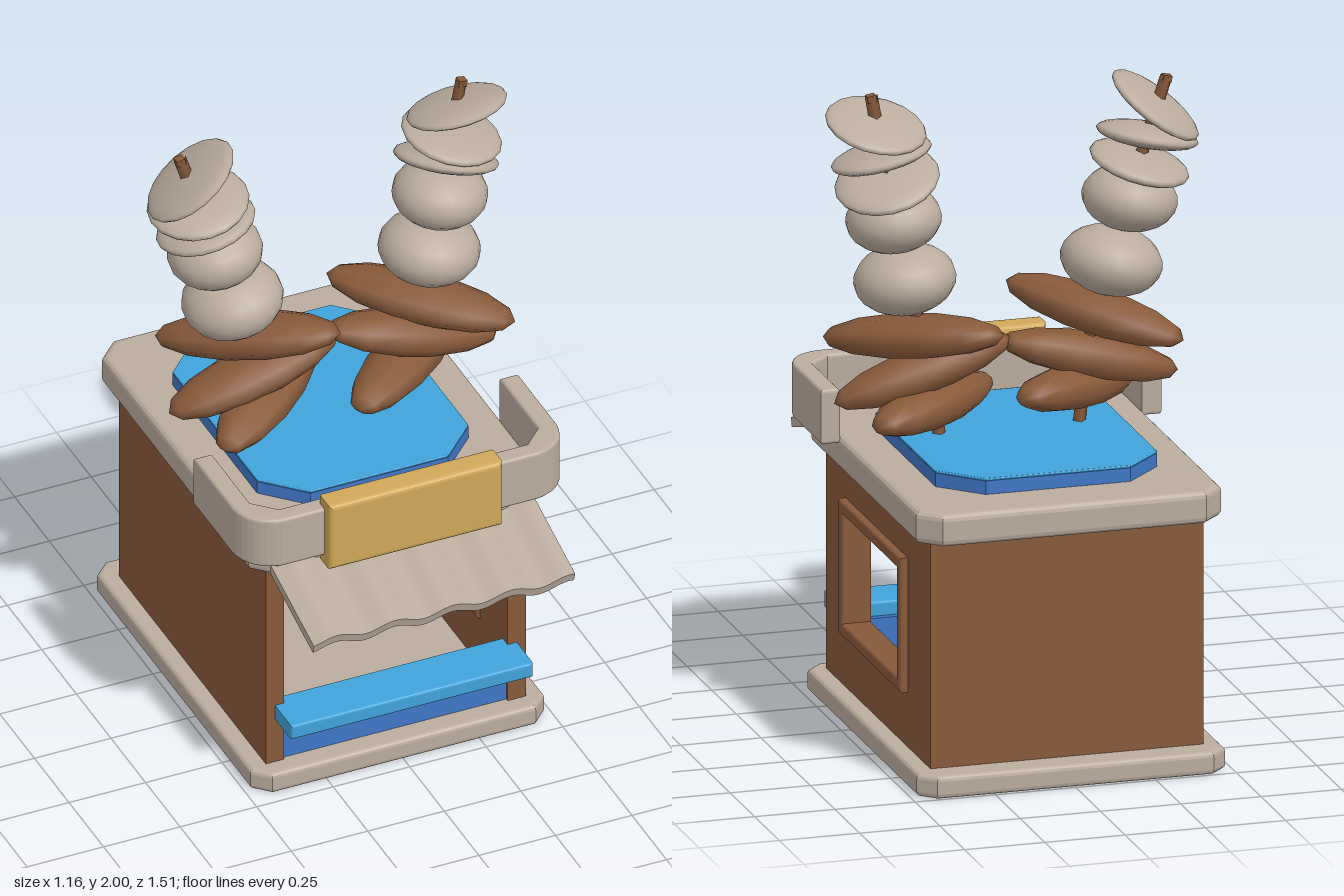
import * as THREE from 'three';

const mat = (name, color) => {
  const m = new THREE.MeshStandardMaterial({ color });
  m.name = name;
  return m;
};

export function createModel() {
  const root = new THREE.Group();
  root.name = 'skewerStall';
  const stone = mat('warm stone', 0xbbac9e);
  const wood = mat('brown wood', 0x885a3a);
  const sky = mat('light blue', 0x40a3da);
  const blue = mat('deep blue', 0x3f77c6);
  const gold = mat('gold', 0xcfa859);

  const add = (name, geo, material, parent = root) => {
    const mesh = new THREE.Mesh(geo, material);
    mesh.name = name;
    parent.add(mesh);
    return mesh;
  };
  // Box given by its min and max corners
  const box = (name, material, [x0, y0, z0], [x1, y1, z1]) =>
    add(name, new THREE.BoxGeometry(x1 - x0, y1 - y0, z1 - z0)
      .translate((x0 + x1) / 2, (y0 + y1) / 2, (z0 + z1) / 2), material);
  // Extrusion with bevels kept inside the outline
  const extrude = (shape, depth, bevel) => new THREE.ExtrudeGeometry(shape, {
    depth: depth - 2 * bevel, bevelEnabled: bevel > 0, bevelSize: bevel, bevelThickness: bevel,
    bevelOffset: -bevel, bevelSegments: 3, curveSegments: 8,
  }).translate(0, 0, bevel);
  const poly = (pts) => new THREE.Shape(pts.map(([x, y]) => new THREE.Vector2(x, y)));
  // Rectangle with cut corners, lying flat
  const slab = (name, material, hw, zBack, zFront, cut, y0, y1, bevel) => {
    const a = -zFront, b = -zBack;
    const shape = poly([[-hw + cut, a], [hw - cut, a], [hw, a + cut], [hw, b - cut],
      [hw - cut, b], [-hw + cut, b], [-hw, b - cut], [-hw, a + cut]]);
    return add(name, extrude(shape, y1 - y0, bevel).rotateX(-Math.PI / 2).translate(0, y0, 0), material);
  };

  // Base, roof and blue roof pad
  slab('base', stone, 0.48, -0.75, 0.46, 0.05, 0, 0.07, 0.015);
  slab('roof', stone, 0.475, -0.74, 0.45, 0.065, 0.78, 0.88, 0.02);
  slab('roofPadSide', blue, 0.345, -0.57, 0.28, 0.12, 0.87, 0.922, 0);
  slab('roofPadTop', sky, 0.345, -0.57, 0.28, 0.12, 0.922, 0.93, 0.003);

  // Walls, open at the front
  box('backWall', wood, [-0.425, 0.07, -0.66], [0.425, 0.78, -0.605]);
  box('rightWall', wood, [-0.425, 0.07, -0.605], [-0.365, 0.78, 0.4]);

  // Left wall with a window, drawn in (-z, y)
  const rect = (x0, y0, x1, y1) => poly([[x0, y0], [x1, y0], [x1, y1], [x0, y1]]);
  const withHole = (outer, hole) => {
    outer.holes.push(hole);
    return outer;
  };
  const wall = withHole(rect(-0.4, 0.07, 0.605, 0.78), rect(-0.17, 0.27, 0.4, 0.63));
  add('leftWall', extrude(wall, 0.06, 0).rotateY(Math.PI / 2).translate(0.365, 0, 0), wood);
  const frame = withHole(rect(-0.2, 0.24, 0.43, 0.66), rect(-0.16, 0.28, 0.39, 0.62));
  add('windowFrame', extrude(frame, 0.095, 0.01).rotateY(Math.PI / 2).translate(0.355, 0, 0), wood);

  // Serving counter
  box('counterPanel', blue, [-0.365, 0.07, 0.34], [0.365, 0.23, 0.39]);
  add('counter', extrude(rect(-0.395, 0.225, 0.395, 0.275), 0.16, 0.008).translate(0, 0, 0.36), sky);

  // Parapet wrapping the front of the roof
  const rail = new THREE.Shape();
  rail.moveTo(-0.53, -0.11);
  rail.lineTo(-0.53, -0.39);
  rail.quadraticCurveTo(-0.52, -0.49, -0.42, -0.51);
  rail.lineTo(0.42, -0.51);
  rail.quadraticCurveTo(0.52, -0.49, 0.53, -0.39);
  [[0.53, -0.11], [0.47, -0.11], [0.47, -0.385], [0.405, -0.45], [-0.405, -0.45], [-0.47, -0.385],
    [-0.47, -0.11]].forEach(([x, y]) => rail.lineTo(x, y));
  add('parapet', extrude(rail, 0.17, 0.01).rotateX(-Math.PI / 2).translate(0, 0.86, 0), stone);

  // Blank sign board
  add('signBoard', extrude(rect(-0.283, 0.83, 0.283, 1.06), 0.085, 0.015).translate(0, 0, 0.465), gold);

  // Corrugated awning
  const awning = new THREE.BoxGeometry(0.85, 0.03, 0.35, 54, 1, 1);
  const p = awning.attributes.position;
  for (let i = 0; i < p.count; i++) {
    p.setY(i, p.getY(i) + 0.014 * Math.sin((p.getX(i) * 2 * Math.PI) / 0.19 + 0.6));
  }
  awning.computeVertexNormals();
  const awningMesh = add('awning', awning, stone);
  awningMesh.rotation.x = 0.29;
  awningMesh.position.set(0, 0.77, 0.58);

  // Skewers: long brown pieces between two tips, then round pieces and discs
  const longGeo = new THREE.SphereGeometry(1, 9, 7).rotateZ(Math.PI / 2);
  const roundGeo = new THREE.SphereGeometry(1, 18, 12);
  const skewer = (name, rod, longs, rounds) => {
    const g = new THREE.Group();
    g.name = name;
    root.add(g);
    const curve = new THREE.CatmullRomCurve3(rod.map(([x, y]) => new THREE.Vector3(x, y, -0.09)));
    add('stick', new THREE.TubeGeometry(curve, 16, 0.02, 4), wood, g);
    const tip = rod[rod.length - 1];
    const cap = add('stickEnd', new THREE.BoxGeometry(0.027, 0.02, 0.027), wood, g);
    cap.position.set(tip[0], tip[1] - 0.008, -0.09);
    cap.rotation.z = -Math.sign(tip[0]) * 0.18;
    longs.forEach(([a, b]) => {
      const from = new THREE.Vector3(...a), to = new THREE.Vector3(...b);
      const d = to.clone().sub(from);
      const m = add('longPiece', longGeo, wood, g);
      m.position.copy(from).add(to).multiplyScalar(0.5);
      m.scale.set(d.length() / 2, 0.068, 0.1);
      m.rotation.set(0, Math.atan2(-d.z, d.x), Math.atan2(d.y, Math.hypot(d.x, d.z)), 'YZX');
    });
    rounds.forEach(([x, y, r, h, tiltZ, tiltX]) => {
      const m = add(h > 0.06 ? 'roundPiece' : 'disc', roundGeo, stone, g);
      m.position.set(x, y, -0.09);
      m.scale.set(r, h, r);
      m.rotation.set(tiltX, 0, tiltZ);
    });
  };
  skewer('rightSkewer',
    [[-0.21, 0.9], [-0.25, 1.2], [-0.31, 1.42], [-0.4, 1.72], [-0.485, 1.98]],
    [[[-0.42, 1.01, 0.09], [0.02, 1.07, -0.28]],
      [[-0.52, 1.06, -0.09], [0.03, 1.2, -0.09]],
      [[-0.48, 1.21, -0.28], [-0.04, 1.33, 0.09]]],
    [[-0.313, 1.42, 0.155, 0.105, 0.2, 0], [-0.37, 1.61, 0.145, 0.1, 0.15, 0],
      [-0.4, 1.715, 0.155, 0.036, 0.25, -0.15], [-0.425, 1.8, 0.155, 0.036, 0.2, 0.1],
      [-0.45, 1.89, 0.16, 0.03, 0.6, -0.25]]);
  skewer('leftSkewer',
    [[0.22, 0.9], [0.26, 1.2], [0.33, 1.42], [0.385, 1.73], [0.435, 2.0]],
    [[[0.02, 1.03, 0.09], [0.47, 1.02, -0.28]],
      [[0.0, 1.21, -0.09], [0.55, 1.05, -0.09]],
      [[0.08, 1.275, -0.28], [0.53, 1.205, 0.09]]],
    [[0.33, 1.42, 0.155, 0.105, -0.12, 0], [0.365, 1.61, 0.145, 0.1, -0.1, 0],
      [0.385, 1.73, 0.16, 0.035, -0.28, 0.3], [0.403, 1.81, 0.155, 0.032, -0.22, -0.1],
      [0.42, 1.905, 0.155, 0.03, 0.13, 0.3]].map(([x, y, r, h, a, b]) => [x, y, r, h, a, -b]));
  return root;
}
